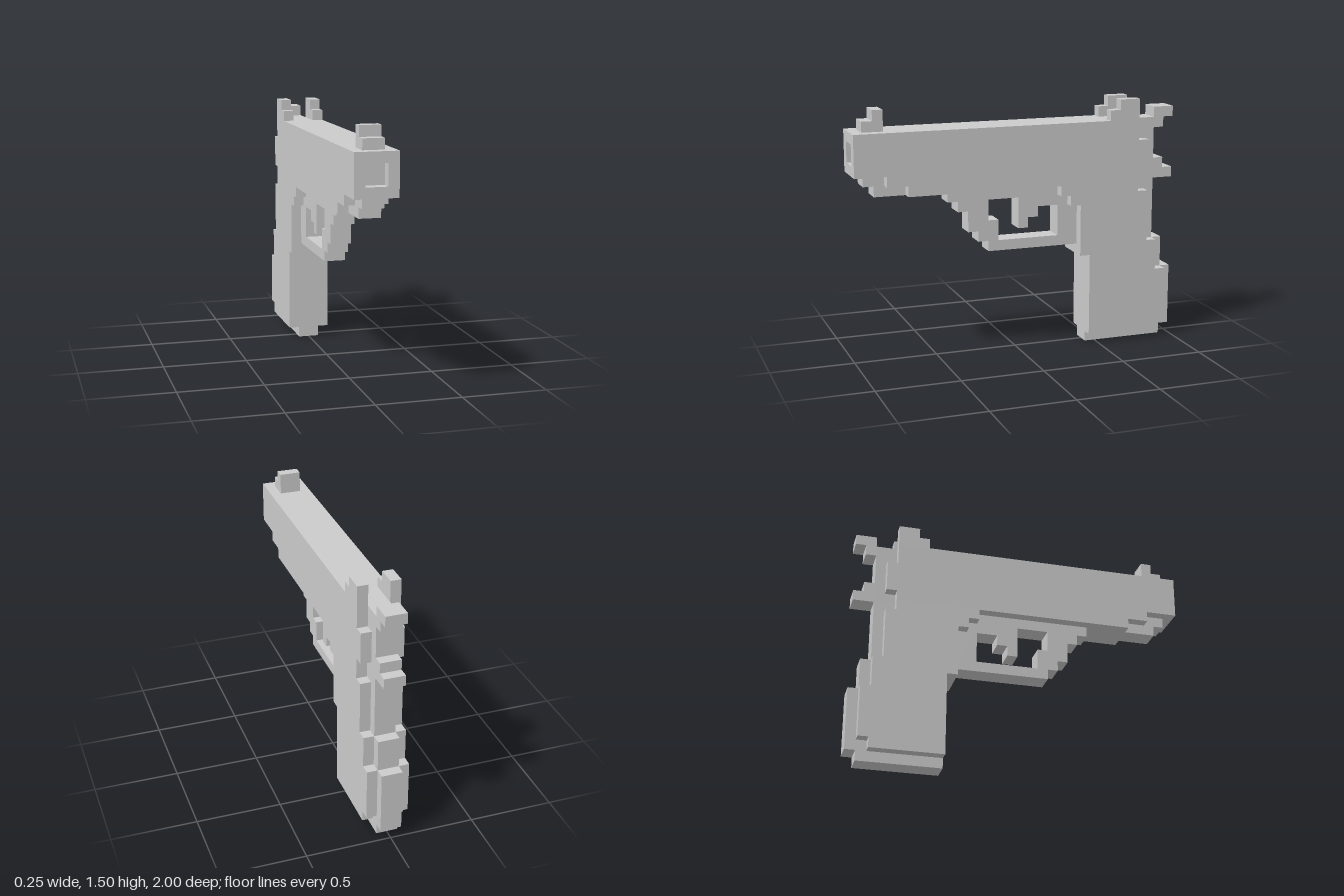
import * as THREE from 'three';

// One voxel; outlines are [steps back from the muzzle, steps up from the ground]
const U = 1 / 16;
const material = new THREE.MeshStandardMaterial({ color: 0xcccccc, flatShading: true });

const toPoints = (outline) => outline.map(([c, r]) => new THREE.Vector2(1 - c * U, r * U));

// Extrudes a side profile between x0 and x1 (in voxels)
function slab(name, x0, x1, outline, hole) {
  const shape = new THREE.Shape(toPoints(outline));
  if (hole) shape.holes.push(new THREE.Path(toPoints(hole)));
  const geometry = new THREE.ExtrudeGeometry(shape, { depth: (x1 - x0) * U, bevelEnabled: false });
  geometry.rotateY(-Math.PI / 2); // shape x becomes z, depth runs toward -x
  geometry.translate(x1 * U, 0, 0);
  const mesh = new THREE.Mesh(geometry, material);
  mesh.name = name;
  return mesh;
}

export function createModel() {
  const model = new THREE.Group();
  model.name = 'pistol';

  const core = (name, outline, hole) => model.add(slab(name, -1, 1, outline, hole));
  const sides = (name, outline) => {
    model.add(slab(name + 'Left', 1, 2, outline));
    model.add(slab(name + 'Right', -2, -1, outline));
  };

  // Slide: middle layer with the muzzle recess, and a panel on each side
  core('slideCore', [
    [0, 18], [1, 18], [1, 17], [2, 17], [2, 16], [30, 16], [30, 22], [0, 22],
    [0, 21], [1, 21], [1, 19], [0, 19],
  ]);
  sides('slidePanel', [
    [0, 18], [3, 18], [3, 17], [5, 17], [5, 16], [28, 16], [28, 17], [29, 17],
    [29, 20], [28, 20], [28, 22], [0, 22],
  ]);

  // Sights
  core('frontSight', [[1, 22], [3, 22], [3, 24], [2, 24], [2, 23], [1, 23]]);
  sides('rearSight', [[25, 22], [28, 22], [28, 24], [26, 24], [26, 23], [25, 23]]);

  // Hammer and the spur below it
  core('hammer', [[30, 21], [31, 21], [31, 22], [32, 22], [32, 23], [30, 23]]);
  core('gripSpur', [[30, 16], [32, 16], [32, 17], [31, 17], [31, 18], [30, 18]]);

  // Trigger guard with its opening, and the trigger
  core('triggerGuard', [
    [9, 16], [9, 15], [10, 15], [10, 14], [11, 14], [11, 12], [12, 12], [12, 11],
    [13, 11], [13, 10], [22, 10], [22, 16],
  ], [[13, 15], [20, 15], [20, 11], [14, 11], [14, 13], [13, 13]]);
  core('trigger', [
    [16, 15], [20, 15], [20, 14], [18, 14], [18, 13], [17, 13], [17, 12], [16, 12],
  ]);

  // Grip: middle layer, side panels and the narrow magazine base
  core('gripCore', [
    [22, 16], [22, 9], [23, 9], [23, 1], [32, 1], [32, 7], [31, 7], [31, 10],
    [30, 10], [30, 16],
  ]);
  sides('gripPanel', [
    [20, 16], [20, 15], [21, 15], [21, 14], [22, 14], [22, 9], [23, 9], [23, 1],
    [30, 1], [30, 2], [31, 2], [31, 7], [30, 7], [30, 10], [29, 10], [29, 15],
    [28, 15], [28, 16],
  ]);
  core('magazineBase', [[23, 0], [31, 0], [31, 1], [23, 1]]);

  return model;
}
